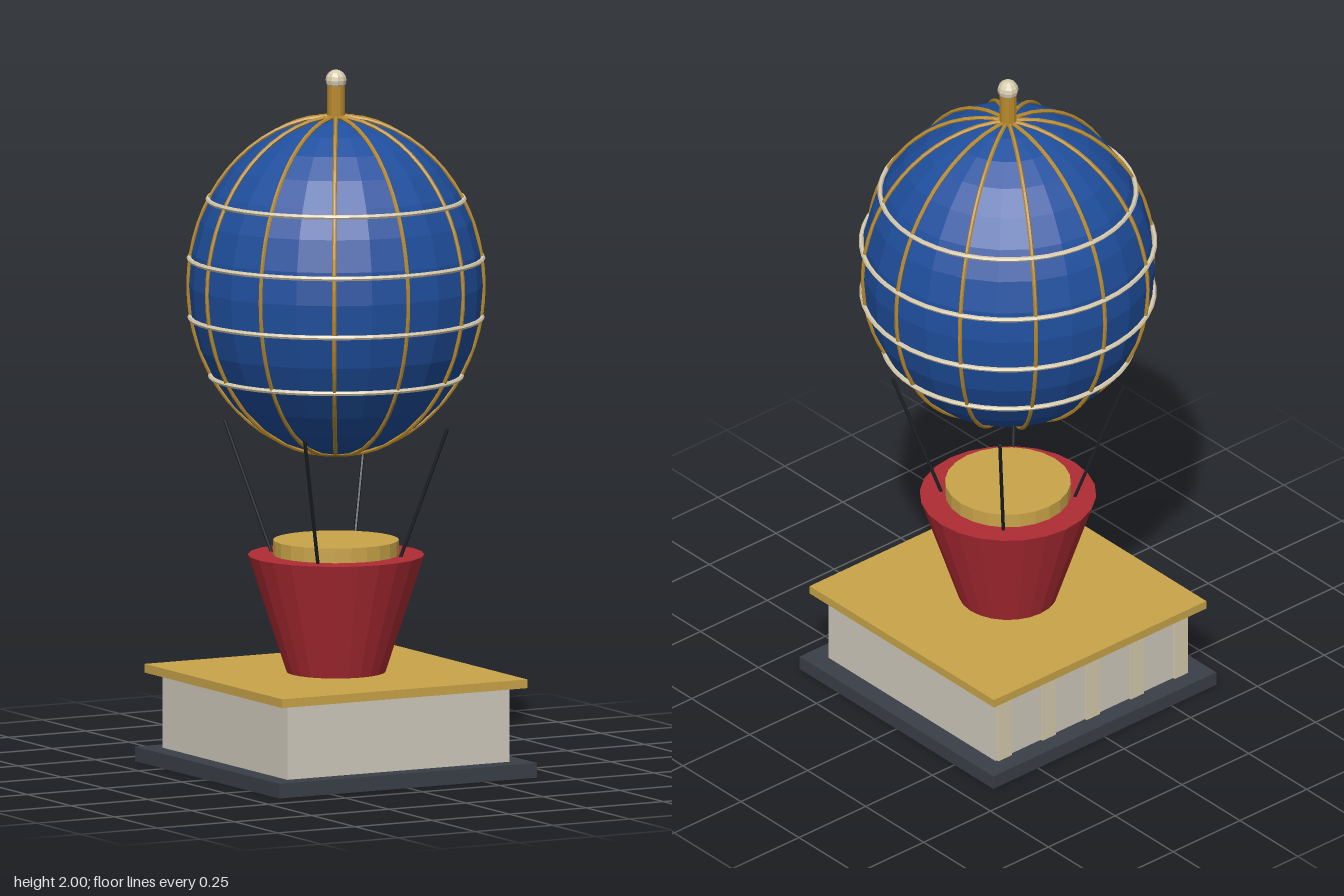
import * as THREE from 'three';

const paint = (name, color) => {
  const m = new THREE.MeshStandardMaterial({ color });
  m.name = name;
  m.flatShading = true;
  return m;
};

export function createModel() {
  const model = new THREE.Group();
  model.name = 'balloonOnPlinth';

  const blue = paint('balloon blue', 0x1f4f9e);
  const gold = paint('gold', 0xc9a449);
  const brass = paint('dark brass', 0xb88a2c);
  const cream = paint('cream', 0xd9cdb0);
  const stone = paint('pale stone', 0xd0cabc);
  const red = paint('basket red', 0xb02c34);
  const slate = paint('slate', 0x3a3f48);
  const black = paint('rope black', 0x1c2024);

  const add = (name, geometry, material, x = 0, y = 0, z = 0, parent = model) => {
    const mesh = new THREE.Mesh(geometry, material);
    mesh.name = name;
    mesh.position.set(x, y, z);
    parent.add(mesh);
    return mesh;
  };
  const group = (name) => {
    const g = new THREE.Group();
    g.name = name;
    model.add(g);
    return g;
  };

  // Square plinth: foot, body and overhanging top
  add('plinthFoot', new THREE.BoxGeometry(0.835, 0.042, 0.835), slate, 0, 0.021, 0);
  add('plinthBody', new THREE.BoxGeometry(0.72, 0.215, 0.72), stone, 0, 0.148, 0);
  add('plinthTop', new THREE.BoxGeometry(0.795, 0.025, 0.795), gold, 0, 0.267, 0);

  // Pilasters along the back of the plinth
  const pilasters = group('pilasters');
  for (let i = -2; i <= 2; i++) {
    add('pilaster', new THREE.BoxGeometry(0.05, 0.195, 0.02), cream, i * 0.165, 0.14, -0.358, pilasters);
  }

  // Tapered basket with a round lid
  add('basket', new THREE.CylinderGeometry(0.25, 0.14, 0.335, 24), red, 0, 0.4475, 0);
  add('basketLid', new THREE.CylinderGeometry(0.178, 0.178, 0.05, 24), gold, 0, 0.632, 0);

  // Four ropes, one at each diagonal
  const ropes = group('ropes');
  const up = new THREE.Vector3(0, 1, 0);
  for (const sx of [-1, 1]) for (const sz of [-1, 1]) {
    const low = new THREE.Vector3(sx * 0.133, 0.61, sz * 0.133);
    const high = new THREE.Vector3(sx * 0.231, 0.985, sz * 0.231);
    const span = high.clone().sub(low);
    const rope = add('rope', new THREE.CylinderGeometry(0.005, 0.005, span.length(), 6), black, 0, 0, 0, ropes);
    rope.position.copy(low).add(high).multiplyScalar(0.5);
    rope.quaternion.setFromUnitVectors(up, span.normalize());
  }

  // Egg-shaped envelope
  const centreY = 1.384;
  const envelope = new THREE.SphereGeometry(1, 24, 16);
  envelope.scale(0.416, 0.48, 0.416);
  add('envelope', envelope, blue, 0, centreY, 0);

  // Twelve ribs running pole to pole
  const ribPoints = [];
  for (let i = 0; i <= 16; i++) {
    const a = (i / 16) * Math.PI;
    ribPoints.push(new THREE.Vector3(0.418 * Math.sin(a), 0.483 * Math.cos(a), 0));
  }
  const ribGeometry = new THREE.TubeGeometry(new THREE.CatmullRomCurve3(ribPoints), 32, 0.006, 6);
  const ribs = group('ribs');
  for (let i = 0; i < 12; i++) {
    add('rib', ribGeometry, brass, 0, centreY, 0, ribs).rotation.y = (i * Math.PI) / 6;
  }

  // Horizontal hoops
  const hoops = group('hoops');
  for (const y of [1.125, 1.293, 1.462, 1.63]) {
    const radius = 0.421 * Math.sqrt(1 - ((y - centreY) / 0.483) ** 2);
    add('hoop', new THREE.TorusGeometry(radius, 0.007, 6, 48), cream, 0, y, 0, hoops).rotation.x = Math.PI / 2;
  }

  // Finial
  add('finialStem', new THREE.CylinderGeometry(0.025, 0.025, 0.1, 12), brass, 0, 1.905, 0);
  add('finialBall', new THREE.SphereGeometry(0.03, 10, 8), cream, 0, 1.97, 0);

  return model;
}
